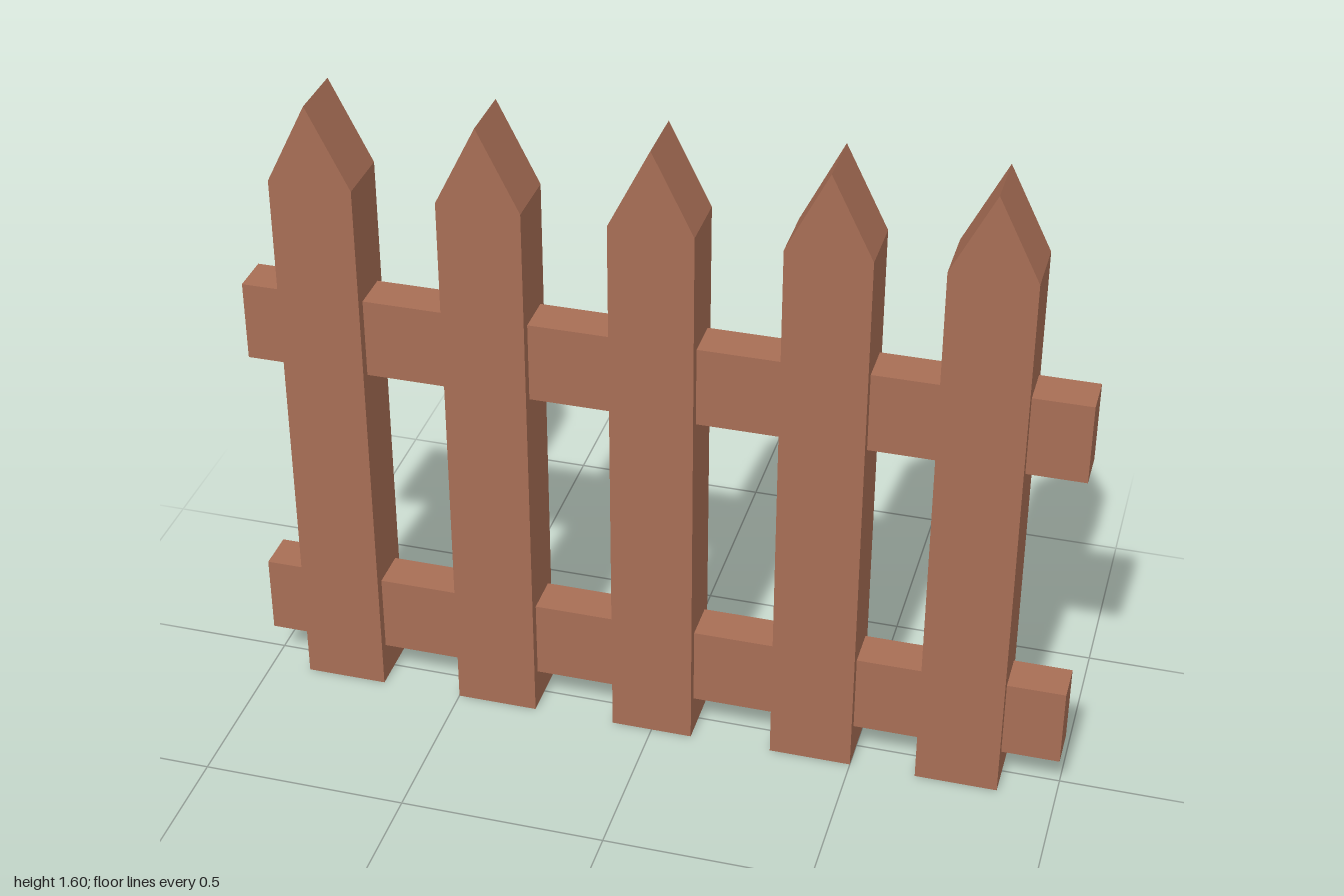
import * as THREE from 'three';

export function createModel() {
  const fence = new THREE.Group();
  fence.name = 'picketFence';

  const wood = new THREE.MeshStandardMaterial({ color: 0xa86e55 });
  wood.name = 'brown wood';

  // Pointed picket outline, extruded and centred in depth
  const depth = 0.15;
  const outline = new THREE.Shape([
    new THREE.Vector2(-0.1, 0),
    new THREE.Vector2(0.1, 0),
    new THREE.Vector2(0.1, 1.4),
    new THREE.Vector2(0, 1.6),
    new THREE.Vector2(-0.1, 1.4),
  ]);
  const picketGeometry = new THREE.ExtrudeGeometry(outline, { depth, bevelEnabled: false });
  picketGeometry.translate(0, 0, -depth / 2);

  // Five pickets, the last set slightly closer to its neighbour
  [-0.8, -0.4, 0, 0.4, 0.76].forEach((x, i) => {
    const picket = new THREE.Mesh(picketGeometry, wood);
    picket.name = `picket${i + 1}`;
    picket.position.x = x;
    fence.add(picket);
  });

  // Two horizontal rails running through the pickets
  const railGeometry = new THREE.BoxGeometry(2, 0.2, 0.1);
  for (const [name, y] of [['lowerRail', 0.2], ['upperRail', 1]]) {
    const rail = new THREE.Mesh(railGeometry, wood);
    rail.name = name;
    rail.position.y = y;
    fence.add(rail);
  }

  return fence;
}
